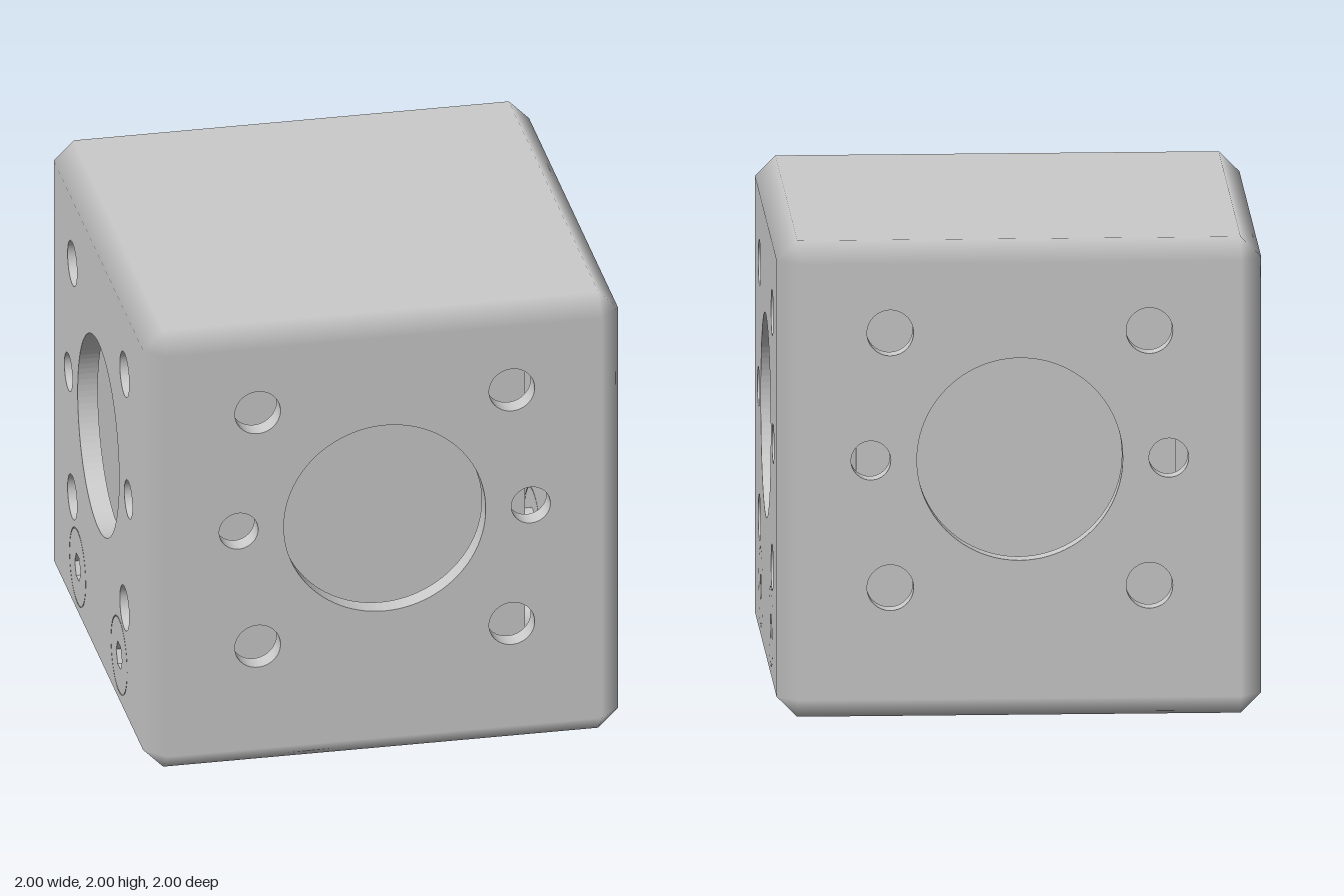
import * as THREE from 'three';

const C = 0.085;      // chamfer size and wall thickness
const H = 1 - C;      // half width of each flat panel
const HOLE_Y = 0.09;  // height of the big opening above the box centre

const material = new THREE.MeshStandardMaterial({ color: 0xcccccc });

function named(geometry, name) {
  const mesh = new THREE.Mesh(geometry, material);
  mesh.name = name;
  return mesh;
}

function circle(x, y, r) {
  return new THREE.Path().absarc(x, y, r, 0, Math.PI * 2, true);
}

// Square panel with holes, its outer face at z = 1
function panel(holes, name) {
  const shape = new THREE.Shape([[-H, -H], [H, -H], [H, H], [-H, H]].map(p => new THREE.Vector2(...p)));
  shape.holes = holes;
  const geometry = new THREE.ExtrudeGeometry(shape, { depth: C, bevelEnabled: false, curveSegments: 48 });
  geometry.translate(0, 0, H);
  return named(geometry, name);
}

// Chamfered edges and corners, with normals blending from panel to panel
function chamferGeometry() {
  const positions = [], normals = [], index = [];
  const id = (signs, axis) => signs.reduce((n, s, i) => n + (s > 0 ? 1 << i : 0), 0) * 3 + axis;
  const point = i => new THREE.Vector3().fromArray(positions, i * 3);
  for (let k = 0; k < 8; k++) {
    for (let axis = 0; axis < 3; axis++) {
      for (let i = 0; i < 3; i++) {
        const s = k & (1 << i) ? 1 : -1;
        positions.push(i === axis ? s : s * H);
        normals.push(i === axis ? s : 0);
      }
    }
  }
  // Add a triangle facing away from the box centre
  const tri = (a, b, c) => {
    const pa = point(a), n = point(b).sub(pa).cross(point(c).sub(pa));
    index.push(...(n.dot(pa) > 0 ? [a, b, c] : [a, c, b]));
  };
  const S = [-1, 1];
  for (const x of S) for (const y of S) for (const z of S) tri(id([x, y, z], 0), id([x, y, z], 1), id([x, y, z], 2));
  for (let along = 0; along < 3; along++) {
    const a = (along + 1) % 3, b = (along + 2) % 3;
    for (const sa of S) for (const sb of S) {
      const lo = [], hi = [];
      lo[a] = hi[a] = sa;
      lo[b] = hi[b] = sb;
      lo[along] = -1;
      hi[along] = 1;
      tri(id(lo, a), id(hi, a), id(hi, b));
      tri(id(lo, a), id(hi, b), id(lo, b));
    }
  }
  const geometry = new THREE.BufferGeometry();
  geometry.setAttribute('position', new THREE.Float32BufferAttribute(positions, 3));
  geometry.setAttribute('normal', new THREE.Float32BufferAttribute(normals, 3));
  geometry.setIndex(index);
  return geometry;
}

// Flush bolt with a hexagonal socket, its face at z = 1
function bolt() {
  const group = new THREE.Group();
  group.name = 'bolt';
  const head = new THREE.Shape().absarc(0, 0, 0.163, 0, Math.PI * 2);
  const hex = [];
  for (let i = 0; i < 6; i++) {
    const a = -i * Math.PI / 3;
    hex.push(new THREE.Vector2(0.06 * Math.cos(a), 0.06 * Math.sin(a)));
  }
  head.holes.push(new THREE.Path(hex));
  const headGeometry = new THREE.ExtrudeGeometry(head, { depth: C, bevelEnabled: false, curveSegments: 32 });
  headGeometry.translate(0, 0, 1 - C);
  const shank = new THREE.CylinderGeometry(0.08, 0.08, 0.27, 32).rotateX(Math.PI / 2);
  shank.translate(0, 0, 1 - C - 0.135);
  group.add(named(headGeometry, 'boltHead'), named(shank, 'boltShank'));
  return group;
}

export function createModel() {
  const model = new THREE.Group();
  model.name = 'perforatedBox';
  const box = new THREE.Group();
  box.name = 'housing';
  box.position.y = 1;
  model.add(box);

  box.add(named(chamferGeometry(), 'chamferedEdges'));

  // Four walls, each with one large and six small openings
  ['frontWall', 'leftWall', 'backWall', 'rightWall'].forEach((name, i) => {
    const wall = new THREE.Group();
    wall.name = name;
    wall.rotation.y = i * Math.PI / 2;
    const holes = [circle(0, HOLE_Y, 0.425)];
    for (const s of [-1, 1]) {
      holes.push(circle(s * 0.615, HOLE_Y, 0.082));
      for (const t of [-1, 1]) holes.push(circle(s * 0.535, HOLE_Y + t * 0.535, 0.096));
      // The side walls also carry two bolts
      if (i % 2) {
        holes.push(circle(s * 0.425, -0.715, 0.167));
        const b = bolt();
        b.position.set(s * 0.425, -0.715, 0);
        wall.add(b);
      }
    }
    wall.add(panel(holes, name + 'Panel'));
    box.add(wall);
  });

  // Closed top, and a base with a central hole
  const top = panel([], 'topPanel');
  top.rotation.x = -Math.PI / 2;
  const base = panel([circle(0, 0, 0.1)], 'basePanel');
  base.rotation.x = Math.PI / 2;
  box.add(top, base);

  // Solid block inside, seen through the openings
  const core = named(new THREE.BoxGeometry(1.32, 1.7, 1.32), 'innerCore');
  core.position.y = 0.03;
  box.add(core);

  // Small connector on the inner block behind the lower front hole
  const connector = named(new THREE.BoxGeometry(0.06, 0.14, 0.14), 'connector');
  connector.position.set(0.68, -0.47, 0.585);
  box.add(connector);

  return model;
}
